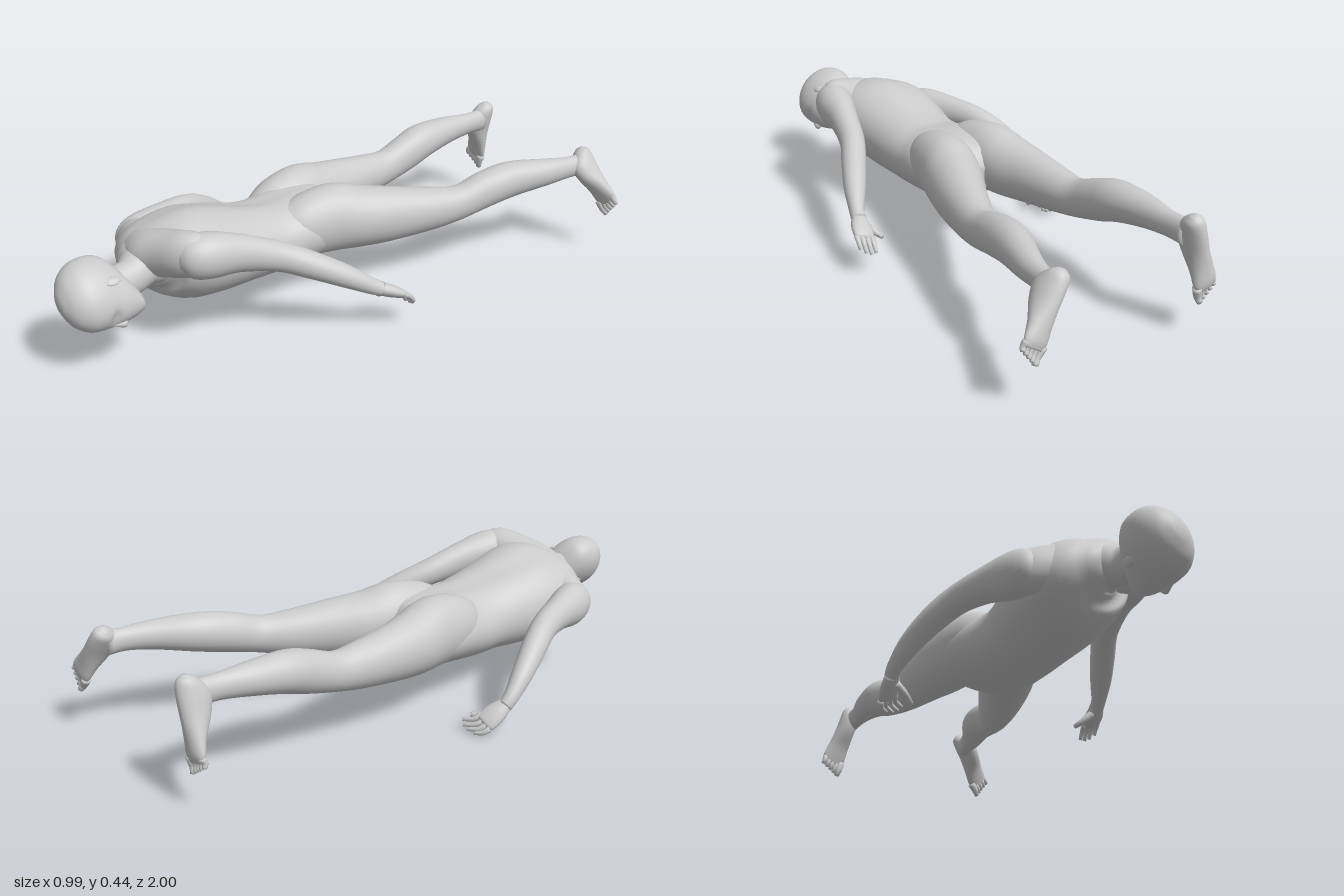
import * as THREE from 'three';

const V = (x, y, z) => new THREE.Vector3(x, y, z);
const material = new THREE.MeshStandardMaterial({ color: 0xcccccc, roughness: 0.8 });

// Smooth skin through oval sections [x, y, z, halfWidth, halfHeight, rollDegrees].
// up steers the height axis, axis fixes the ring direction, shape(angle, k) scales a ring.
function loft(name, sections, { up = V(0, 1, 0), axis = null, sides = 28, steps = 5, shape = () => 1 } = {}) {
  const path = new THREE.CatmullRomCurve3(sections.map(s => V(s[0], s[1], s[2])), false, 'catmullrom');
  const size = new THREE.CatmullRomCurve3(
    sections.map(s => V(s[3], s[4] ?? s[3], (s[5] ?? 0) * Math.PI / 180)), false, 'catmullrom');
  const rows = (sections.length - 1) * steps;
  const pos = [], index = [];
  for (let i = -1; i <= rows + 1; i++) {
    const k = Math.min(Math.max(i / rows, 0), 1);
    const pole = i < 0 || i > rows ? 0 : 1;
    const c = path.getPoint(k), r = size.getPoint(k), t = axis ?? path.getTangent(k);
    const w = up.clone().cross(t).normalize();
    const u = t.clone().cross(w).normalize();
    const w2 = w.clone().multiplyScalar(Math.cos(r.z)).addScaledVector(u, -Math.sin(r.z));
    const u2 = u.clone().multiplyScalar(Math.cos(r.z)).addScaledVector(w, Math.sin(r.z));
    for (let j = 0; j < sides; j++) {
      const a = j / sides * Math.PI * 2, s = shape(a, k) * pole;
      const p = c.clone().addScaledVector(w2, Math.cos(a) * Math.max(r.x, 0.002) * s)
        .addScaledVector(u2, Math.sin(a) * Math.max(r.y, 0.002) * s);
      pos.push(p.x, p.y, p.z);
    }
  }
  for (let i = 0; i < rows + 2; i++) for (let j = 0; j < sides; j++) {
    const a = i * sides + j, b = i * sides + (j + 1) % sides;
    index.push(a, b, a + sides, b, b + sides, a + sides);
  }
  const g = new THREE.BufferGeometry();
  g.setAttribute('position', new THREE.Float32BufferAttribute(pos, 3));
  g.setIndex(index);
  g.computeVertexNormals();
  const mesh = new THREE.Mesh(g, material);
  mesh.name = name;
  return mesh;
}

// Thin tapering digit through a few points
const digit = (name, points, r) => loft(name,
  points.map((p, i) => [p.x, p.y, p.z, r * (1 - 0.4 * i / (points.length - 1))]), { sides: 8, steps: 3 });

// Palm, four curled fingers and a thumb; side runs from thumb to little finger
function hand(name, wrist, knuckle, side, curl, thumbPoints) {
  const group = new THREE.Group();
  group.name = name;
  const d = knuckle.clone().sub(wrist).normalize();
  side.normalize();
  const mid = wrist.clone().lerp(knuckle, 0.5);
  group.add(loft('palm', [
    [...wrist.toArray(), 0.024, 0.022], [...mid.toArray(), 0.037, 0.022],
    [...knuckle.toArray(), 0.037, 0.016],
    [...knuckle.clone().addScaledVector(d, 0.012).toArray(), 0.024, 0.007],
  ], { up: d.clone().cross(side).normalize(), sides: 16 }));
  for (let i = 0; i < 4; i++) {
    const base = knuckle.clone().addScaledVector(side, (i - 1.5) * 0.019);
    const len = [0.9, 1, 0.95, 0.75][i];
    group.add(digit('finger', [base,
      base.clone().addScaledVector(d, 0.03 * len).addScaledVector(curl, 0.006),
      base.clone().addScaledVector(d, 0.048 * len).addScaledVector(curl, 0.035 * len)], 0.011));
  }
  group.add(digit('thumb', thumbPoints, 0.014));
  return group;
}

// Foot hanging from heel to toes, with the sole towards -z
function foot(name, heel, toe) {
  const group = new THREE.Group();
  group.name = name;
  const up = V(0, 0, 1);
  const along = toe.clone().sub(heel);
  // fraction, forward bulge, half width, half thickness
  const profile = [[0, 0, 0.012, 0.012], [0.08, 0.006, 0.03, 0.036], [0.25, 0.02, 0.035, 0.054],
    [0.48, 0.018, 0.036, 0.048], [0.72, 0.006, 0.041, 0.03], [0.9, 0, 0.045, 0.02], [1, 0, 0.038, 0.012]];
  group.add(loft('sole', profile.map(([f, z, a, b]) =>
    [...heel.clone().addScaledVector(along, f).add(V(0, 0, z)).toArray(), a, b]),
  { up, axis: along.clone().normalize(), sides: 20 }));
  const d = along.clone().normalize();
  const side = up.clone().cross(d).normalize();
  const inward = name === 'leftFoot' ? -1 : 1;
  for (let i = 0; i < 5; i++) {
    const base = toe.clone().addScaledVector(side, inward * (2 - i) * 0.017).addScaledVector(d, -0.015);
    const len = 0.055 - i * 0.006;
    group.add(digit('toe', [base, base.clone().addScaledVector(d, len * 0.6).add(V(0, 0, 0.005)),
      base.clone().addScaledVector(d, len)], i === 0 ? 0.016 : 0.012));
  }
  return group;
}

function makeHead() {
  const group = new THREE.Group();
  group.name = 'head';
  const face = V(0.64, -0.768, 0), left = V(0.768, 0.64, 0);
  const at = (f, s, z) => V(-0.04, 0.272, z).addScaledVector(face, f).addScaledVector(left, s);
  // height, forward offset, half width, half depth
  const rings = [[0.737, 0.078, 0.014, 0.014], [0.75, 0.064, 0.038, 0.036], [0.785, 0.03, 0.062, 0.08],
    [0.83, 0.003, 0.077, 0.113], [0.88, -0.004, 0.087, 0.12], [0.93, -0.004, 0.084, 0.112],
    [0.97, -0.004, 0.062, 0.082], [0.992, -0.004, 0.03, 0.04], [0.998, -0.004, 0.01, 0.014]];
  const skull = loft('skull', rings.map(([z, f, a, b]) => [...at(f, 0, z).toArray(), a, b]),
    { up: face, axis: V(0, 0, 1), sides: 36 });
  // press in the eye sockets
  const p = skull.geometry.attributes.position, v = V(0, 0, 0), o = at(0, 0, 0);
  for (let i = 0; i < p.count; i++) {
    v.fromBufferAttribute(p, i);
    const rel = v.clone().sub(o), s = Math.abs(rel.dot(left));
    if (rel.dot(face) < 0.04) continue;
    const dent = 0.016 * Math.exp(-(((s - 0.036) / 0.02) ** 2) - ((v.z - 0.855) / 0.016) ** 2);
    v.addScaledVector(face, -dent);
    p.setXYZ(i, v.x, v.y, v.z);
  }
  skull.geometry.computeVertexNormals();
  group.add(skull);
  group.add(loft('nose', [[0.872, 0.106, 0.006], [0.845, 0.113, 0.009], [0.823, 0.116, 0.014], [0.812, 0.108, 0.011]]
    .map(([z, f, r]) => [...at(f, 0, z).toArray(), r, r]), { up: face, axis: V(0, 0, -1), sides: 12 }));
  group.add(loft('mouth', [-0.026, -0.012, 0, 0.012, 0.026].map((s, i) =>
    [...at(0.102 - Math.abs(s) * 0.5, s, 0.785).toArray(), [0.003, 0.008, 0.009, 0.008, 0.003][i]]),
  { up: face, sides: 10 }));
  for (const s of [-1, 1]) {
    const ear = new THREE.Mesh(new THREE.SphereGeometry(1, 14, 10), material);
    ear.name = 'ear';
    ear.scale.set(0.016, 0.007, 0.026);
    ear.rotation.z = Math.atan2(face.y, face.x) + s * 0.3;
    ear.position.copy(at(-0.008, s * 0.081, 0.84));
    group.add(ear);
  }
  return group;
}

export function createModel() {
  const model = new THREE.Group();
  model.name = 'proneFigure';

  // Torso, rolled so the left shoulder is raised, with a groove along the spine
  const groove = (a, k) => 1 - (Math.sin(a) > 0 ? 0.07 : 0.025) * Math.exp(-((Math.cos(a) / 0.22) ** 2)) * Math.sin(Math.PI * k);
  model.add(loft('torso', [
    [-0.07, 0.285, 0.71, 0.055, 0.055, 18], [-0.09, 0.29, 0.675, 0.11, 0.085, 18],
    [-0.105, 0.29, 0.62, 0.185, 0.125, 18], [-0.105, 0.275, 0.53, 0.195, 0.155, 18],
    [-0.1, 0.257, 0.42, 0.183, 0.152, 16], [-0.09, 0.243, 0.3, 0.167, 0.134, 11],
    [-0.09, 0.237, 0.2, 0.167, 0.126, 6], [-0.09, 0.247, 0.1, 0.178, 0.125, 2],
    [-0.09, 0.25, 0, 0.18, 0.115, 0], [-0.085, 0.245, -0.05, 0.15, 0.085, 0],
    [-0.085, 0.24, -0.085, 0.08, 0.04, 0]], { sides: 44, shape: groove }));
  // Shoulder girdle from the left cap over the neck base to the right cap
  model.add(loft('shoulders', [
    [0.145, 0.362, 0.58, 0.03, 0.045], [0.115, 0.368, 0.588, 0.058, 0.07], [0.07, 0.364, 0.605, 0.072, 0.08],
    [0, 0.345, 0.625, 0.078, 0.083], [-0.07, 0.325, 0.64, 0.09, 0.085], [-0.14, 0.305, 0.635, 0.085, 0.085],
    [-0.22, 0.28, 0.615, 0.076, 0.082], [-0.29, 0.264, 0.59, 0.07, 0.076], [-0.33, 0.26, 0.575, 0.055, 0.064],
    [-0.352, 0.26, 0.565, 0.028, 0.04]], { axis: V(-1, 0, 0) }));
  model.add(loft('neck', [[-0.085, 0.298, 0.62, 0.1, 0.085], [-0.075, 0.292, 0.69, 0.078, 0.068],
    [-0.052, 0.277, 0.75, 0.055, 0.062], [-0.045, 0.272, 0.84, 0.055, 0.06]]));
  model.add(makeHead());

  // Legs, each swelling out of the back as the buttock
  model.add(loft('rightLeg', [
    [-0.155, 0.255, 0.21, 0.05, 0.07], [-0.168, 0.262, 0.13, 0.084, 0.1], [-0.175, 0.273, 0.06, 0.096, 0.116],
    [-0.182, 0.277, -0.02, 0.1, 0.122],
    [-0.192, 0.268, -0.1, 0.098, 0.112], [-0.2, 0.264, -0.2, 0.085, 0.098], [-0.2, 0.264, -0.35, 0.068, 0.078],
    [-0.197, 0.272, -0.45, 0.057, 0.066], [-0.195, 0.303, -0.55, 0.061, 0.07], [-0.196, 0.328, -0.63, 0.064, 0.068],
    [-0.19, 0.342, -0.75, 0.05, 0.054], [-0.178, 0.346, -0.86, 0.032, 0.042], [-0.175, 0.346, -0.94, 0.03, 0.044]]));
  model.add(loft('leftLeg', [
    [-0.03, 0.255, 0.21, 0.05, 0.07], [-0.015, 0.262, 0.13, 0.084, 0.1], [0, 0.273, 0.06, 0.094, 0.116],
    [0.018, 0.277, -0.02, 0.1, 0.122],
    [0.05, 0.268, -0.1, 0.1, 0.112], [0.098, 0.264, -0.2, 0.088, 0.1], [0.163, 0.264, -0.35, 0.069, 0.078],
    [0.203, 0.274, -0.45, 0.056, 0.064], [0.226, 0.302, -0.55, 0.06, 0.068], [0.253, 0.322, -0.65, 0.06, 0.066],
    [0.308, 0.333, -0.78, 0.045, 0.05], [0.334, 0.335, -0.87, 0.032, 0.04], [0.342, 0.335, -0.93, 0.03, 0.042]]));
  model.add(foot('rightFoot', V(-0.168, 0.413, -0.96), V(-0.232, 0.165, -0.978)));
  model.add(foot('leftFoot', V(0.322, 0.39, -0.94), V(0.452, 0.205, -0.978)));

  // Arms from inside the shoulder to the wrist
  model.add(loft('leftArm', [
    [0.075, 0.365, 0.64, 0.035, 0.04], [0.092, 0.365, 0.605, 0.064, 0.07], [0.112, 0.36, 0.545, 0.068, 0.076],
    [0.14, 0.346, 0.45, 0.052, 0.062], [0.182, 0.31, 0.33, 0.045, 0.05], [0.235, 0.27, 0.24, 0.043, 0.045],
    [0.29, 0.223, 0.15, 0.038, 0.038], [0.332, 0.178, 0.075, 0.026, 0.028], [0.345, 0.16, 0.04, 0.026, 0.024]]));
  model.add(loft('rightArm', [
    [-0.275, 0.265, 0.63, 0.035, 0.04], [-0.292, 0.264, 0.6, 0.062, 0.068], [-0.315, 0.264, 0.54, 0.066, 0.076],
    [-0.35, 0.27, 0.44, 0.052, 0.06], [-0.386, 0.262, 0.33, 0.045, 0.05], [-0.422, 0.225, 0.24, 0.043, 0.045],
    [-0.455, 0.168, 0.15, 0.036, 0.038], [-0.472, 0.112, 0.08, 0.026, 0.028], [-0.47, 0.085, 0.05, 0.024, 0.024]]));
  model.add(hand('leftHand', V(0.342, 0.164, 0.05), V(0.367, 0.13, -0.024), V(0.8, 0.25, 0.1), V(-0.1, -0.8, -0.1),
    [V(0.335, 0.145, 0.03), V(0.312, 0.122, 0.02), V(0.295, 0.105, 0.005), V(0.29, 0.1, -0.015)]));
  model.add(hand('rightHand', V(-0.47, 0.09, 0.055), V(-0.449, 0.042, -0.016), V(-0.6, -0.45, -0.1), V(1.1, 0.1, -0.2),
    [V(-0.45, 0.07, 0.04), V(-0.415, 0.05, 0.03), V(-0.388, 0.038, 0.012), V(-0.37, 0.035, -0.005)]));

  return model;
}
